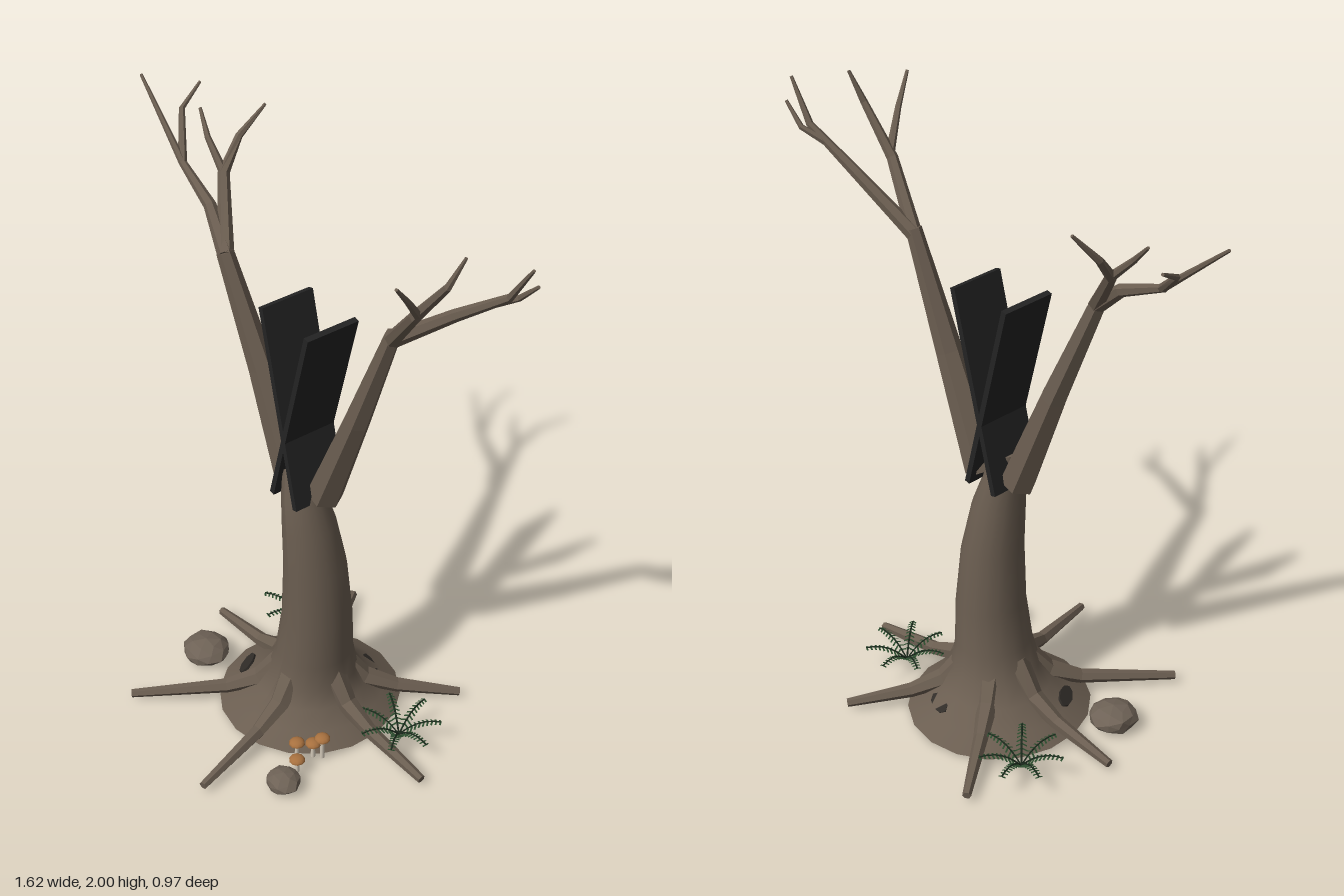
import * as THREE from 'three';
import { mergeGeometries } from 'three/addons/utils/BufferGeometryUtils.js';

const mat = (name, color, side = THREE.FrontSide) =>
  Object.assign(new THREE.MeshStandardMaterial({ color, side }), { name });
const V = (p) => new THREE.Vector3(...p);

// Faceted sweep along a few points, tapering evenly from radius r0 to r1
function sweep(points, r0, r1, sides = 6) {
  const c = points.map(V);
  const n = c.length;
  const span = c[n - 1].clone().sub(c[0]);
  const ref = Math.abs(span.z) < Math.abs(span.y) ? new THREE.Vector3(0, 0, 1) : new THREE.Vector3(0, 1, 0);
  const pos = [], index = [];
  c.forEach((p, i) => {
    const t = c[Math.min(i + 1, n - 1)].clone().sub(c[Math.max(i - 1, 0)]).normalize();
    const u = ref.clone().cross(t).normalize();
    const v = t.clone().cross(u);
    const r = r0 + ((r1 - r0) * i) / (n - 1);
    for (let j = 0; j < sides; j++) {
      const a = (j / sides) * Math.PI * 2;
      const q = p.clone().addScaledVector(u, Math.cos(a) * r).addScaledVector(v, Math.sin(a) * r);
      pos.push(q.x, q.y, q.z);
    }
  });
  for (let i = 0; i < n - 1; i++) for (let j = 0; j < sides; j++) {
    const a = i * sides + j, b = i * sides + ((j + 1) % sides);
    index.push(a, b, b + sides, a, b + sides, a + sides);
  }
  const e = (n - 1) * sides;
  for (let j = 1; j < sides - 1; j++) index.push(0, j + 1, j, e, e + j, e + j + 1);
  const g = new THREE.BufferGeometry();
  g.setAttribute('position', new THREE.Float32BufferAttribute(pos, 3));
  g.setIndex(index);
  const flat = g.toNonIndexed();
  flat.computeVertexNormals();
  return flat;
}

export function createModel() {
  const root = new THREE.Group();
  const bark = mat('bark', 0x6a5d50);
  const stone = mat('stone', 0x6e6256);
  const black = mat('black panel', 0x232323);
  const hollow = mat('hollow', 0x302c28);
  const cap = mat('mushroom cap', 0xa8713f);
  const stem = mat('mushroom stem', 0xd2c8b8);
  const leaf = mat('fern leaf', 0x2a4a2c, THREE.DoubleSide);
  const stalk = mat('fern stalk', 0x1c2c1e);
  const add = (name, geo, m, parent = root) => {
    const mesh = new THREE.Mesh(geo, m);
    mesh.name = name;
    parent.add(mesh);
    return mesh;
  };

  // Leaning trunk flaring into a mound: [y, centre x, centre z, radius x]
  const sections = [
    [0.01, 0.03, -0.07, 0.295], [0.05, 0.035, -0.07, 0.235], [0.1, 0.045, -0.068, 0.175],
    [0.16, 0.055, -0.064, 0.14], [0.25, 0.066, -0.06, 0.12], [0.4, 0.075, -0.062, 0.108],
    [0.6, 0.074, -0.053, 0.095], [0.76, 0.06, -0.039, 0.08], [0.86, 0.042, -0.03, 0.064], [0.965, 0.02, -0.03, 0.046],
  ];
  const trunk = new THREE.CylinderGeometry(1, 1, 1, 18, sections.length - 1);
  const tp = trunk.attributes.position;
  for (let i = 0; i < tp.count; i++) {
    const [y, cx, cz, r] = sections[Math.round((tp.getY(i) + 0.5) * (sections.length - 1))];
    tp.setXYZ(i, cx + tp.getX(i) * r, y, cz + tp.getZ(i) * (r + 0.009));
  }
  trunk.computeVertexNormals();
  add('trunk', trunk, bark);

  // Roots: tip x, tip z, height where the root leaves the trunk
  const tips = [[0.58, -0.09, 0.2], [-0.455, -0.06, 0.2], [-0.3, 0.42, 0.18], [0.185, 0.475, 0.2], [0.35, -0.45, 0.18], [-0.25, -0.48, 0.18]];
  for (const [x, z, h] of tips) {
    const cx = 0.055, cz = -0.06, len = Math.hypot(x - cx, z - cz);
    const at = (d, y) => [cx + ((x - cx) / len) * d, y, cz + ((z - cz) / len) * d];
    add('root', sweep([at(0.09, h), at(0.17, 0.1), at(0.28, 0.06), at(len, 0.028)], 0.044, 0.014), bark);
  }

  // Two main limbs
  add('leftLimb', sweep([[0.095, 0.88, -0.07], [0.24, 1.235, -0.07], [0.375, 1.6, -0.08]], 0.058, 0.025), bark);
  add('rightLimb', sweep([[-0.035, 0.88, -0.05], [-0.165, 1.22, -0.03], [-0.305, 1.57, 0]], 0.058, 0.027), bark);

  // Branches and twigs: start radius, then the path
  const branch = (r, ...path) => add('branch', sweep(path, r, 0.005), bark);
  branch(0.025, [0.37, 1.58, -0.08], [0.56, 1.735, -0.135], [0.72, 1.855, -0.175], [0.805, 1.98, -0.168]);
  branch(0.013, [0.66, 1.81, -0.16], [0.73, 1.85, -0.2], [0.795, 1.915, -0.2]);
  branch(0.024, [0.37, 1.58, -0.08], [0.53, 1.76, -0.02], [0.645, 1.905, -0.025], [0.68, 2, -0.05]);
  branch(0.014, [0.54, 1.77, -0.02], [0.6, 1.875, 0.07], [0.64, 1.96, 0.145]);
  branch(0.027, [-0.3, 1.565, 0], [-0.42, 1.665, -0.03], [-0.58, 1.735, -0.045], [-0.81, 1.93, -0.06]);
  branch(0.014, [-0.58, 1.735, -0.045], [-0.7, 1.84, -0.13], [-0.73, 1.89, -0.22]);
  branch(0.025, [-0.3, 1.565, 0], [-0.445, 1.74, -0.1], [-0.475, 1.825, -0.18], [-0.45, 1.915, -0.26]);
  branch(0.014, [-0.445, 1.74, -0.1], [-0.53, 1.82, -0.105], [-0.595, 1.885, -0.125]);

  // Crossed dark panels
  for (const s of [1, -1]) {
    const panel = add('crossedPanel', new THREE.BoxGeometry(0.019, 0.665, 0.185), black);
    panel.position.set(0.034 + s * 0.025, 1.185, -0.05);
    panel.rotation.z = -s * 0.25;
  }

  // Dark hollows lying on the mound slope
  for (const [x, y, z] of [[0.1, 0.069, -0.27], [-0.155, 0.064, 0.05]]) {
    const patch = add('hollow', new THREE.CylinderGeometry(1, 1, 0.008, 8).scale(0.025, 1, 0.05), hollow);
    patch.position.set(x, y, z);
    patch.rotation.set(0, Math.atan2(-(z + 0.07), x - 0.03), -0.65, 'YXZ');
  }

  // Rocks: centre x, centre z, radius, half height
  for (const [x, z, r, h] of [[-0.315, 0.105, 0.082, 0.045], [0.325, 0.262, 0.058, 0.035]]) {
    const g = new THREE.IcosahedronGeometry(1, 1);
    const p = g.attributes.position;
    for (let i = 0; i < p.count; i++) {
      const v = new THREE.Vector3().fromBufferAttribute(p, i);
      v.multiplyScalar(0.97 + 0.09 * Math.sin(v.x * 5 + v.z * 3 + x * 9) * Math.cos(v.y * 4));
      p.setXYZ(i, v.x * r, v.y * h, v.z * r);
    }
    g.computeVertexNormals();
    add('rock', g, stone).position.set(x, h, z);
  }

  // Mushrooms: x, z, height
  for (const [x, z, h] of [[0.3, 0.19, 0.06], [0.26, 0.16, 0.085], [0.277, 0.108, 0.065], [0.298, 0.087, 0.09]]) {
    const m = new THREE.Group();
    m.name = 'mushroom';
    m.position.set(x, 0, z);
    add('mushroomStem', new THREE.CylinderGeometry(0.006, 0.008, h - 0.01, 8).translate(0, h / 2 + 0.005, 0), stem, m);
    add('mushroomCap', new THREE.SphereGeometry(0.026, 10, 4, 0, Math.PI * 2, 0, Math.PI / 2).scale(1, 0.6, 1).translate(0, h, 0), cap, m);
    add('mushroomGills', new THREE.CircleGeometry(0.026, 10).rotateX(Math.PI / 2).translate(0, h, 0), cap, m);
    root.add(m);
  }

  // Ferns: arching stalks with paired leaflets
  const arch = new THREE.QuadraticBezierCurve3(V([0, 0.03, 0]), V([0.06, 0.105, 0]), V([0.135, 0.088, 0]));
  for (const [x, z, turn] of [[-0.27, -0.265, 0.1], [0.385, -0.16, 0]]) {
    const stalks = [], leaves = [];
    for (let f = 0; f < 7; f++) {
      const a = turn + (f / 7) * Math.PI * 2;
      stalks.push(new THREE.TubeGeometry(arch, 6, 0.003, 4).rotateY(a));
      for (let k = 2; k < 11; k++) for (const s of [1, -1]) {
        const p = arch.getPoint(k / 10.5), w = 0.022 - k * 0.001;
        leaves.push(new THREE.PlaneGeometry(0.006, w).rotateX(-Math.PI / 2 + s * 0.35)
          .rotateY(-s * 0.3).translate(p.x + 0.003, p.y - 0.002, s * w * 0.5).rotateY(a));
      }
    }
    add('fernStalks', mergeGeometries(stalks), stalk).position.set(x, 0, z);
    add('fernLeaves', mergeGeometries(leaves), leaf).position.set(x, 0, z);
  }
  return root;
}
